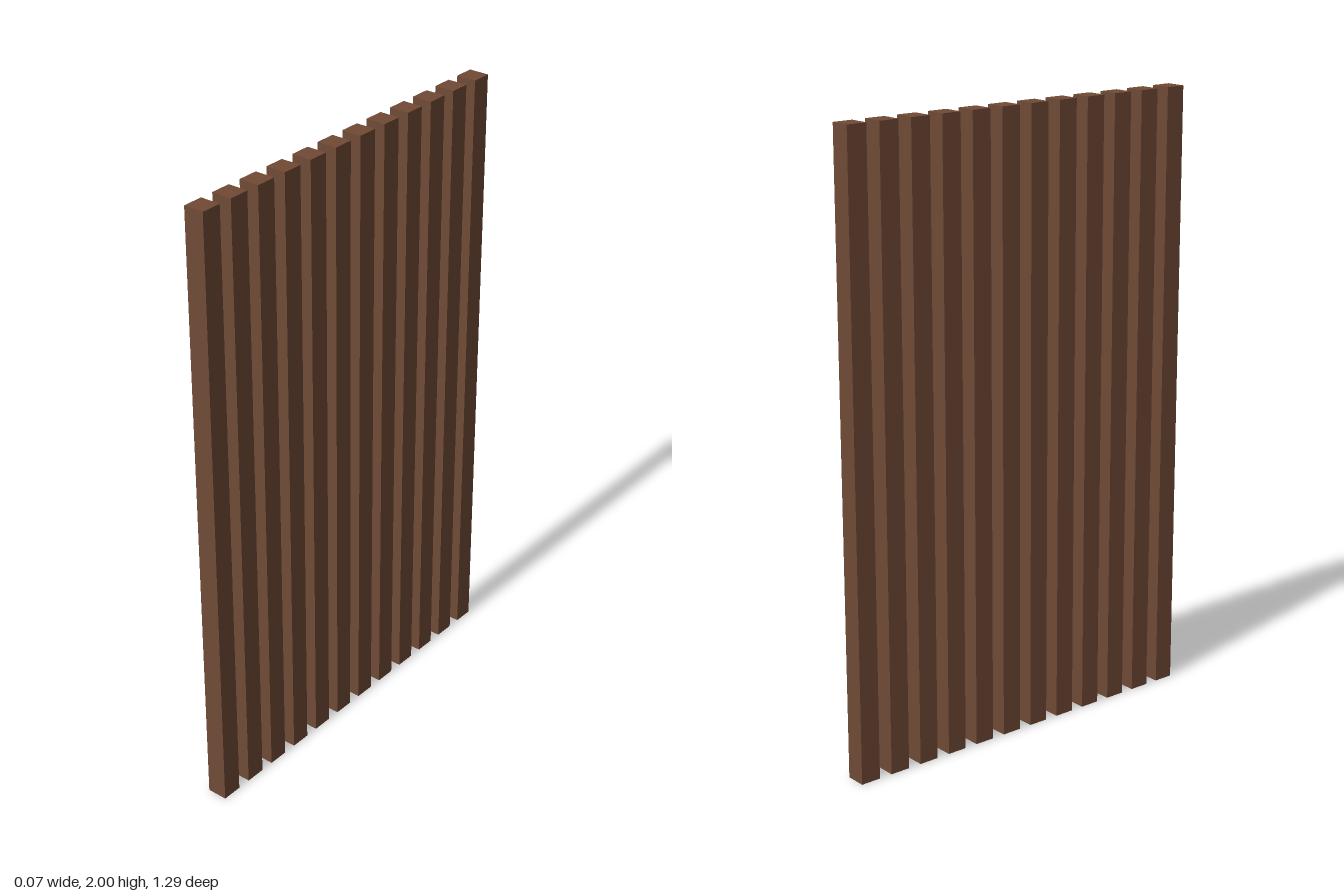
import * as THREE from 'three';

const COUNT = 12;
const HEIGHT = 2;
const WIDTH = 0.0667; // square section of each slat
const PITCH = 0.1111; // spacing between slat centres

export function createModel() {
  const model = new THREE.Group();
  model.name = 'slatScreen';

  const wood = new THREE.MeshStandardMaterial({ color: 0x704a35 });
  wood.name = 'brown wood';

  // Row of identical upright slats along z
  const slatGeometry = new THREE.BoxGeometry(WIDTH, HEIGHT, WIDTH);
  for (let i = 0; i < COUNT; i++) {
    const slat = new THREE.Mesh(slatGeometry, wood);
    slat.name = `slat${i + 1}`;
    slat.position.set(0, HEIGHT / 2, (i - (COUNT - 1) / 2) * PITCH);
    model.add(slat);
  }

  return model;
}
